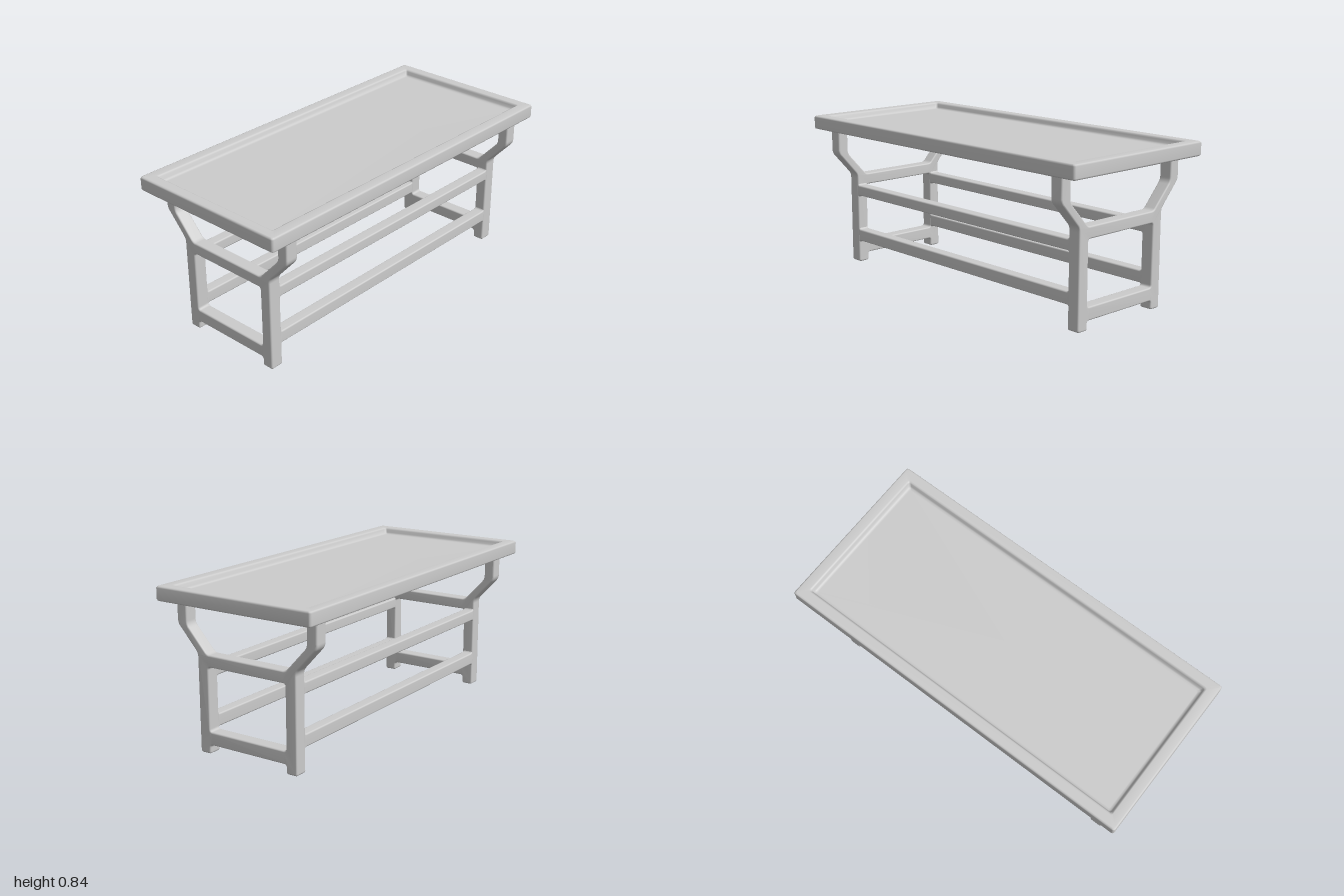
import * as THREE from 'three';
import { mergeVertices } from 'three/addons/utils/BufferGeometryUtils.js';

const material = new THREE.MeshStandardMaterial({ color: 0xcccccc });
const BEVEL = 0.008;

// Polygon with rounded corners; corners are [x, y, radius].
function roundedPolygon(corners, path) {
  const pts = corners.map(([x, y]) => new THREE.Vector2(x, y));
  const n = pts.length;
  pts.forEach((p, i) => {
    const r = corners[i][2];
    const toward = (q) => p.clone().add(q.clone().sub(p).setLength(r));
    const a = toward(pts[(i + n - 1) % n]);
    const b = toward(pts[(i + 1) % n]);
    if (i === 0) path.moveTo(a.x, a.y);
    else path.lineTo(a.x, a.y);
    path.quadraticCurveTo(p.x, p.y, b.x, b.y);
  });
  path.closePath();
  return path;
}

// Adds the x-mirrored copy of half an outline.
const mirrored = (half) => [...half, ...half.map(([x, y, r]) => [-x, y, r]).reverse()];

// Soft, area-weighted normals keep the flats flat and the bevels round.
function soften(geometry) {
  geometry.deleteAttribute('uv');
  geometry.deleteAttribute('normal');
  const merged = mergeVertices(geometry, 1e-4);
  merged.computeVertexNormals();
  return merged;
}

function bevelledExtrude(shape, thickness) {
  const g = new THREE.ExtrudeGeometry(shape, {
    depth: thickness - 2 * BEVEL, bevelThickness: BEVEL, bevelSize: BEVEL,
    bevelOffset: -BEVEL, bevelSegments: 3, curveSegments: 5,
  });
  g.translate(0, 0, BEVEL - thickness / 2);
  return soften(g);
}

function addMesh(parent, name, geometry, x = 0, y = 0, z = 0) {
  const mesh = new THREE.Mesh(geometry, material);
  mesh.name = name;
  mesh.position.set(x, y, z);
  parent.add(mesh);
}

// Tray top: rounded rectangles stacked along an [inset, height] profile.
function trayGeometry(halfX, halfZ, profile) {
  const radius = 0.012, steps = 4, count = 4 * (steps + 1);
  const positions = [], index = [];
  for (const [inset, y] of profile) {
    for (let c = 0; c < 4; c++) {
      const sx = c === 0 || c === 3 ? 1 : -1, sz = c < 2 ? 1 : -1;
      for (let s = 0; s <= steps; s++) {
        const t = (c + s / steps) * Math.PI / 2;
        positions.push(
          sx * (halfX - inset - radius) + radius * Math.cos(t), y,
          sz * (halfZ - inset - radius) + radius * Math.sin(t));
      }
    }
  }
  const last = (profile.length - 1) * count, centre = profile.length * count;
  positions.push(0, profile[0][1], 0, 0, profile[profile.length - 1][1], 0);
  for (let j = 0; j < count; j++) {
    const k = (j + 1) % count;
    for (let o = 0; o < last; o += count) {
      const a = o + j, b = o + k, c = a + count, d = b + count;
      index.push(a, c, b, b, c, d);
    }
    index.push(centre, j, k, centre + 1, last + k, last + j);
  }
  const g = new THREE.BufferGeometry();
  g.setAttribute('position', new THREE.Float32BufferAttribute(positions, 3));
  g.setIndex(index);
  g.computeVertexNormals();
  return g;
}

export function createModel() {
  const model = new THREE.Group();
  model.name = 'table';

  // Shallow tray top with a raised rim
  addMesh(model, 'trayTop', trayGeometry(1, 0.455, [
    [0.01, 0.765], [0.003, 0.768], [0, 0.775], [0, 0.83], [0.003, 0.837], [0.01, 0.84],
    [0.053, 0.84], [0.06, 0.837], [0.064, 0.83], [0.068, 0.815], [0.074, 0.808], [0.085, 0.805],
  ]));

  const base = new THREE.Group();
  base.name = 'base';
  base.position.set(0.006, 0, 0.004);
  model.add(base);

  // End frames: two cranked legs joined by two cross rails
  const frame = roundedPolygon(mirrored([
    [0.232, 0.047, 0.015], [0.232, 0, 0.012], [0.295, 0, 0.012], [0.295, 0.507, 0.02],
    [0.417, 0.64, 0.02], [0.417, 0.785, 0.01], [0.357, 0.785, 0.01],
    [0.357, 0.638, 0.02], [0.235, 0.506, 0.015],
  ]), new THREE.Shape());
  frame.holes.push(roundedPolygon(
    mirrored([[0.232, 0.115, 0.015], [0.232, 0.445, 0.015]]), new THREE.Path()));
  const frameGeometry = bevelledExtrude(frame, 0.07).rotateY(-Math.PI / 2);
  addMesh(base, 'leftEndFrame', frameGeometry, 0.8525);
  addMesh(base, 'rightEndFrame', frameGeometry, -0.8525);

  // Long rails, flared into the legs with small fillets
  for (const [name, y, h] of [['upper', 0.417, 0.029], ['lower', 0.157, 0.033]]) {
    const rail = bevelledExtrude(roundedPolygon(mirrored([
      [0.819, -h, 0.015], [0.819, -h - 0.035, 0.008], [0.85, -h - 0.035, 0.008],
      [0.85, h + 0.035, 0.008], [0.819, h + 0.035, 0.008], [0.819, h, 0.015],
    ]), new THREE.Shape()), 0.061);
    addMesh(base, name + 'FrontRail', rail, 0, y, 0.2635);
    addMesh(base, name + 'BackRail', rail, 0, y, -0.2635);
  }
  return model;
}
